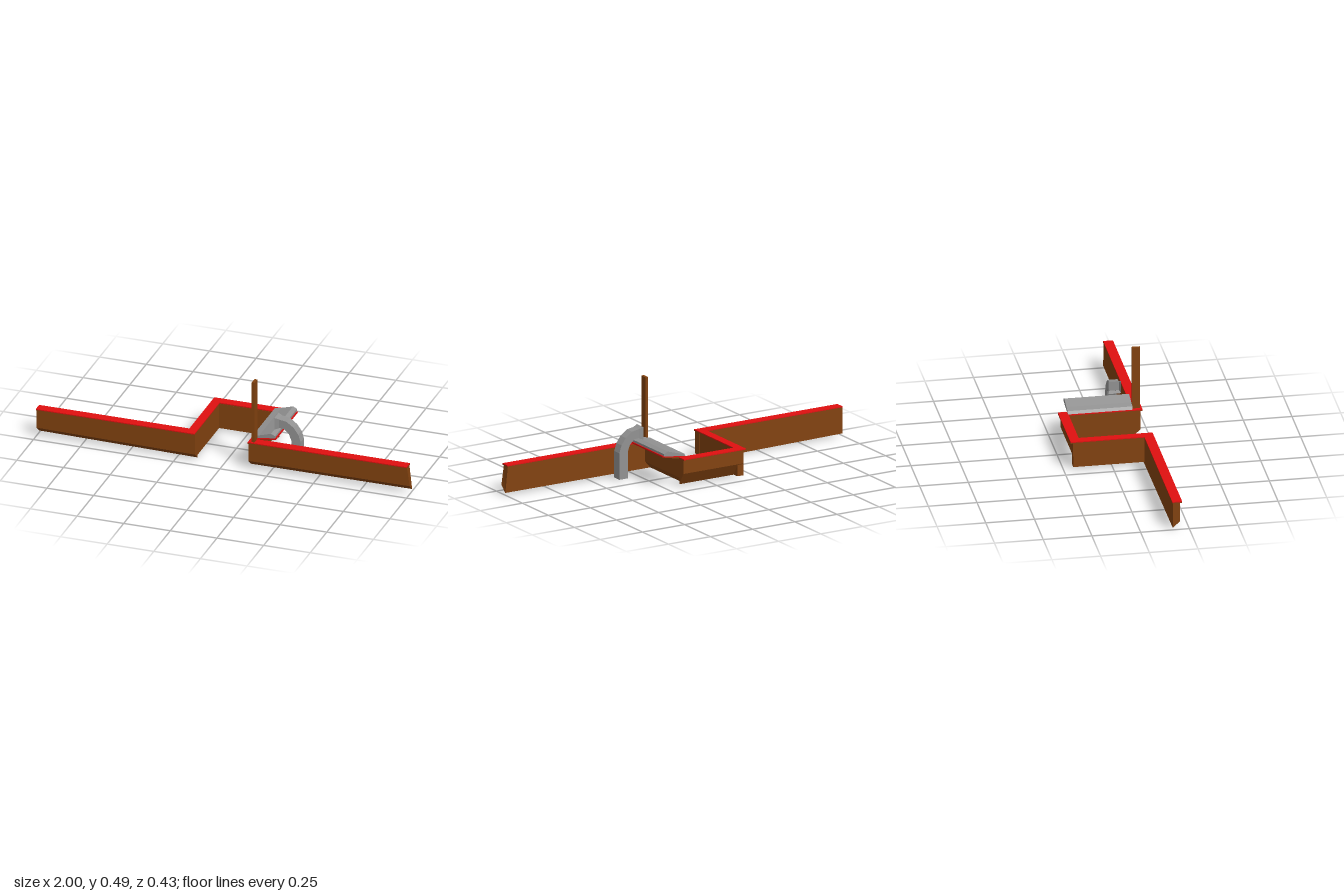
import * as THREE from 'three';

const mat = (name, color, opts = {}) => {
  const m = new THREE.MeshStandardMaterial({ color, ...opts });
  m.name = name;
  return m;
};

export function createModel() {
  const root = new THREE.Group();
  root.name = 'counter';
  const brown = mat('brown wood', 0x82420f);
  const red = mat('red counter top', 0xe01010);
  const grey = mat('grey metal', 0x929292, { side: THREE.DoubleSide });

  const add = (name, geo, material) => {
    const m = new THREE.Mesh(geo, material);
    m.name = name;
    root.add(m);
    return m;
  };
  const extrude = (pts, depth) => new THREE.ExtrudeGeometry(
    new THREE.Shape(pts.map(p => new THREE.Vector2(...p))), { depth, bevelEnabled: false });
  // profile of [z, y] points run along x, or of [x, y] points run along z
  const alongX = (pts, x0, x1) =>
    extrude(pts.map(([z, y]) => [-z, y]), x1 - x0).rotateY(Math.PI / 2).translate(x0, 0, 0);
  const alongZ = (pts, z0, z1) => extrude(pts, z1 - z0).translate(0, 0, z0);
  const box = (x0, x1, y0, y1, z0, z1) =>
    new THREE.BoxGeometry(x1 - x0, y1 - y0, z1 - z0)
      .translate((x0 + x1) / 2, (y0 + y1) / 2, (z0 + z1) / 2);
  const bend = (geo, rule) => {
    const p = geo.attributes.position;
    for (let i = 0; i < p.count; i++) {
      const [x, y] = rule(p.getX(i), p.getY(i));
      p.setXY(i, x, y);
    }
    geo.computeVertexNormals();
    return geo;
  };

  // Front walls, bevelled at the foot; the right one sinks slightly, the left one has a raked end
  const front = [[0.165, 0.012], [0.165, 0.147], [0.203, 0.147], [0.203, 0.045]];
  add('rightFrontWall', bend(alongX(front, -1, -0.15),
    (x, y) => [x, y < 0.1 && x > -0.5 ? y - 0.012 : y]), brown);
  add('leftFrontWall', bend(alongX(front, 0.135, 1),
    (x, y) => [x > 0.9 && y > 0.1 ? 0.985 : x, y]), brown);

  // Recess walls
  add('recessSideWall', box(-0.187, -0.152, 0.012, 0.147, -0.2, 0.165), brown);
  add('recessBackWall', alongX(
    [[-0.165, 0.012], [-0.165, 0.147], [-0.202, 0.147], [-0.202, 0.075]], -0.187, 0.17), brown);
  add('gateWall', alongZ(
    [[0.14, 0.012], [0.17, 0.047], [0.17, 0.147], [0.14, 0.147]], -0.165, 0.165), brown);

  // Flat counter tops: brown lip below, thin red face above
  const tops = [
    ['rightFront', -1, -0.15, 0.163, 0.213],
    ['leftFront', 0.135, 0.987, 0.163, 0.213],
    ['recessSide', -0.195, -0.15, -0.215, 0.165],
    ['recessBack', -0.15, 0.173, -0.215, -0.166],
  ];
  for (const [name, x0, x1, z0, z1] of tops) {
    add(name + 'Lip', box(x0, x1, 0.146, 0.15, z0, z1), brown);
    add(name + 'Top', box(x0, x1, 0.15, 0.155, z0, z1), red);
  }

  // Tilted counter top with a shallow metal tray
  add('tiltedShelf', alongZ(
    [[0.135, 0.146], [0.17, 0.146], [0.27, 0.168], [0.135, 0.15]], -0.165, 0.165), brown);
  add('tiltedTop', alongZ(
    [[0.135, 0.15], [0.27, 0.168], [0.27, 0.175], [0.135, 0.155]], -0.165, 0.165), red);
  add('tray', alongZ(
    [[0.137, 0.156], [0.264, 0.175], [0.264, 0.186], [0.243, 0.197], [0.18, 0.178], [0.145, 0.171]],
    -0.17, 0.163), grey);

  // Corner post
  add('post', box(0.154, 0.169, 0.15, 0.491, 0.163, 0.204), brown);

  // Bent pipe with a flared square mouth
  add('pipe', alongZ([
    [0.265, 0.212], [0.295, 0.21], [0.322, 0.185], [0.335, 0.15], [0.335, 0.01], [0.385, 0.01],
    [0.385, 0.15], [0.372, 0.19], [0.347, 0.225], [0.31, 0.252], [0.265, 0.26],
  ], 0.065, 0.115), grey);
  const flare = new THREE.CylinderGeometry(
    0.033 * Math.SQRT2, 0.025 * Math.SQRT2, 0.022, 4, 1, true)
    .toNonIndexed().rotateY(Math.PI / 4).rotateZ(Math.PI / 2).translate(0.257, 0.235, 0.09);
  flare.computeVertexNormals();
  add('pipeMouth', flare, grey);

  return root;
}
